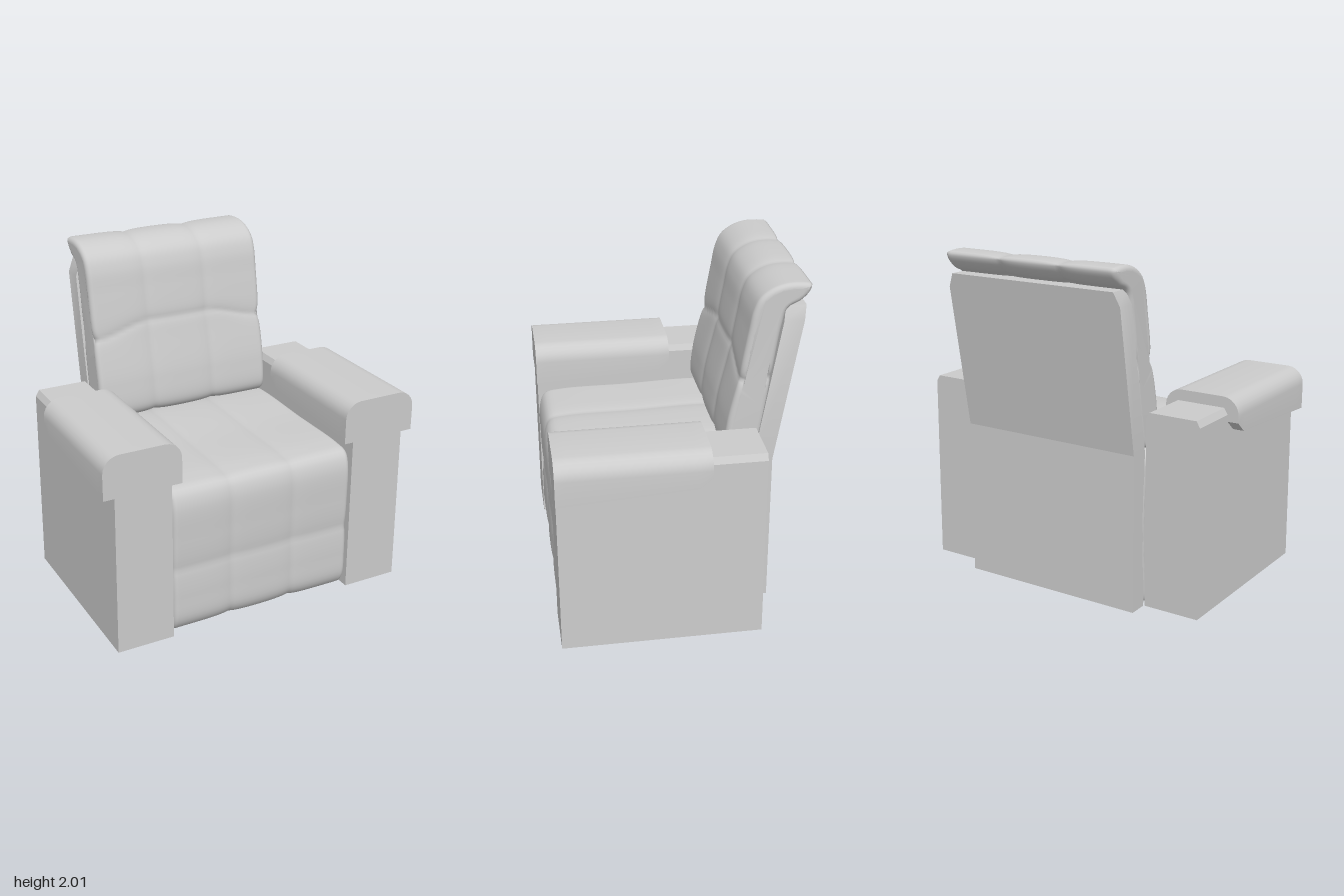
import * as THREE from 'three';
import { toCreasedNormals } from 'three/addons/utils/BufferGeometryUtils.js';

const material = new THREE.MeshStandardMaterial({ color: 0xcccccc });

function addMesh(parent, name, geometry) {
  const mesh = new THREE.Mesh(geometry, material);
  mesh.name = name;
  parent.add(mesh);
  return mesh;
}

function extrude(points, depth, steps = 1) {
  const shape = new THREE.Shape(points.map(([x, y]) => new THREE.Vector2(x, y)));
  return new THREE.ExtrudeGeometry(shape, { depth, steps, bevelEnabled: false });
}

// Move each vertex by a rule, then rebuild normals with sharp edges kept
function reshape(geometry, rule) {
  const pos = geometry.attributes.position;
  const v = new THREE.Vector3();
  for (let i = 0; i < pos.count; i++) {
    rule(v.fromBufferAttribute(pos, i));
    pos.setXYZ(i, v.x, v.y, v.z);
  }
  return toCreasedNormals(geometry, 0.5);
}

// Padded cushion: a side outline of [z, y] points swept across x, with rounded
// ends, pinched lengthwise seams at x = +-0.2 and one cross seam on the front
function cushion(outline, { half, round, seamY, seamDepth, pinch }) {
  const count = 160;
  const curve = new THREE.CatmullRomCurve3(
    outline.map(([z, y]) => new THREE.Vector3(z, y, 0)), true, 'centripetal');
  curve.arcLengthDivisions = 1000;
  const ring = curve.getSpacedPoints(count).slice(0, count);
  const normals = ring.map((p, i) => {
    const a = ring[(i + count - 1) % count], b = ring[(i + 1) % count];
    return new THREE.Vector2(b.y - a.y, a.x - b.x).normalize();
  });

  // Slices along x, each with its inset
  const slices = [];
  const flat = half - round;
  for (let k = 6; k > 0; k--) {
    const t = (k / 6) * Math.PI / 2;
    slices.push([-flat - round * Math.sin(t), round * (1 - Math.cos(t))]);
  }
  for (let k = -30; k <= 30; k++) slices.push([flat * k / 30, 0]);
  for (let k = 5; k >= 0; k--) slices.push([-slices[k][0], slices[k][1]]);

  const positions = [], index = [];
  slices.forEach(([x, endInset]) => {
    const panelInset = 0.013 * Math.exp(-Math.abs(Math.abs(x) - 0.2) / 0.05);
    ring.forEach((p, i) => {
      const n = normals[i];
      const seam = Math.exp(-Math.abs(p.y - seamY(x)) / 0.03);
      const inset = endInset + panelInset + (n.x > 0.5 ? seamDepth * seam : 0);
      positions.push(x * (1 - pinch * seam), p.y - n.y * inset, p.x - n.x * inset);
    });
  });
  const last = slices.length - 1;
  for (let j = 0; j < last; j++) {
    for (let i = 0; i < count; i++) {
      const a = j * count + i, b = j * count + (i + 1) % count;
      index.push(a, a + count, b, b, a + count, b + count);
    }
  }
  // End caps
  const rim = ring.map((p, i) => new THREE.Vector2(
    p.x - normals[i].x * round, p.y - normals[i].y * round));
  for (const [a, b, c] of THREE.ShapeUtils.triangulateShape(rim, [])) {
    const o = last * count;
    index.push(a, b, c, o + a, o + c, o + b);
  }
  const geometry = new THREE.BufferGeometry();
  geometry.setAttribute('position', new THREE.Float32BufferAttribute(positions, 3));
  geometry.setIndex(index);
  geometry.computeVertexNormals();
  return geometry;
}

function createArm(side) {
  const arm = new THREE.Group();
  arm.name = side > 0 ? 'leftArm' : 'rightArm';

  // Side panel with chamfered top edges
  const panel = [[0.585, 0.01], [0.93, 0.01], [0.922, 1.13], [0.9, 1.167], [0.605, 1.167], [0.585, 1.13]];
  const body = extrude(panel.map(([x, y]) => [x * side, y]), 1.16);
  body.translate(0, 0, -0.435);
  addMesh(arm, 'armPanel', body);

  // Rounded pad whose underside rises toward the back
  const [inner, outer, top, r] = [0.525, 0.99, 1.232, 0.1];
  const profile = [[inner, 0.98], [outer, 0.98]];
  for (let k = 0; k <= 6; k++) {
    const t = (k / 6) * Math.PI / 2;
    profile.push([outer - r + r * Math.cos(t), top - r + r * Math.sin(t)]);
  }
  for (let k = 6; k >= 0; k--) {
    const t = (k / 6) * Math.PI / 2;
    profile.push([inner + r - r * Math.cos(t), top - r + r * Math.sin(t)]);
  }
  const pad = extrude(profile.map(([x, y]) => [x * side, y]), 0.85, 12);
  pad.translate(0, 0, -0.12);
  addMesh(arm, 'armPad', reshape(pad, (v) => {
    if (v.y > 1) return;
    v.y = v.z < -0.08 ? 1.09 : 0.98 + 0.05 * (0.73 - v.z) / 0.78;
  }));
  return arm;
}

export function createModel() {
  const chair = new THREE.Group();
  chair.name = 'reclinerArmchair';

  chair.add(createArm(1), createArm(-1));

  // Back shell: upright base and leaning upper part
  const shell = new THREE.Group();
  shell.name = 'backShell';
  chair.add(shell);
  const base = new THREE.BoxGeometry(1.15, 0.935, 0.115);
  base.translate(0, 0.4725, -0.4875);
  addMesh(shell, 'backShellBase', base);
  const upper = extrude([[-0.575, 0.94], [0.575, 0.94], [0.575, 1.79], [0.54, 1.87],
    [-0.54, 1.87], [-0.575, 1.79]], 0.115);
  addMesh(shell, 'backShellUpper', reshape(upper, (v) => {
    v.z -= 0.545 + 0.172 * (v.y - 0.94);
  }));

  // Seat cushion reaching down to the floor
  addMesh(chair, 'seatCushion', cushion([
    [0.54, 0], [0.66, 0.015], [0.712, 0.08], [0.722, 0.25], [0.718, 0.43], [0.722, 0.6],
    [0.716, 0.84], [0.68, 0.91], [0.58, 0.93], [0.2, 0.935], [-0.38, 0.93],
    [-0.43, 0.89], [-0.43, 0.06], [-0.38, 0.01], [-0.3, 0],
  ], { half: 0.578, round: 0.03, seamY: () => 0.43, seamDepth: 0.008, pinch: 0.006 }));

  // Back cushion with a headrest lip curling over the shell
  addMesh(chair, 'backCushion', cushion([
    [-0.31, 0.945], [-0.27, 0.99], [-0.278, 1.17], [-0.338, 1.45], [-0.36, 1.58],
    [-0.385, 1.72], [-0.41, 1.85], [-0.445, 1.925], [-0.51, 1.975], [-0.59, 2],
    [-0.69, 2], [-0.728, 1.99], [-0.718, 1.95], [-0.67, 1.9], [-0.6, 1.86],
    [-0.57, 1.76], [-0.445, 1.0], [-0.41, 0.95],
  ], {
    half: 0.57, round: 0.03, seamDepth: 0.012, pinch: 0.035,
    seamY: (x) => 1.45 + 0.07 * THREE.MathUtils.smoothstep(0.57 - Math.abs(x), 0, 0.37),
  }));

  return chair;
}
